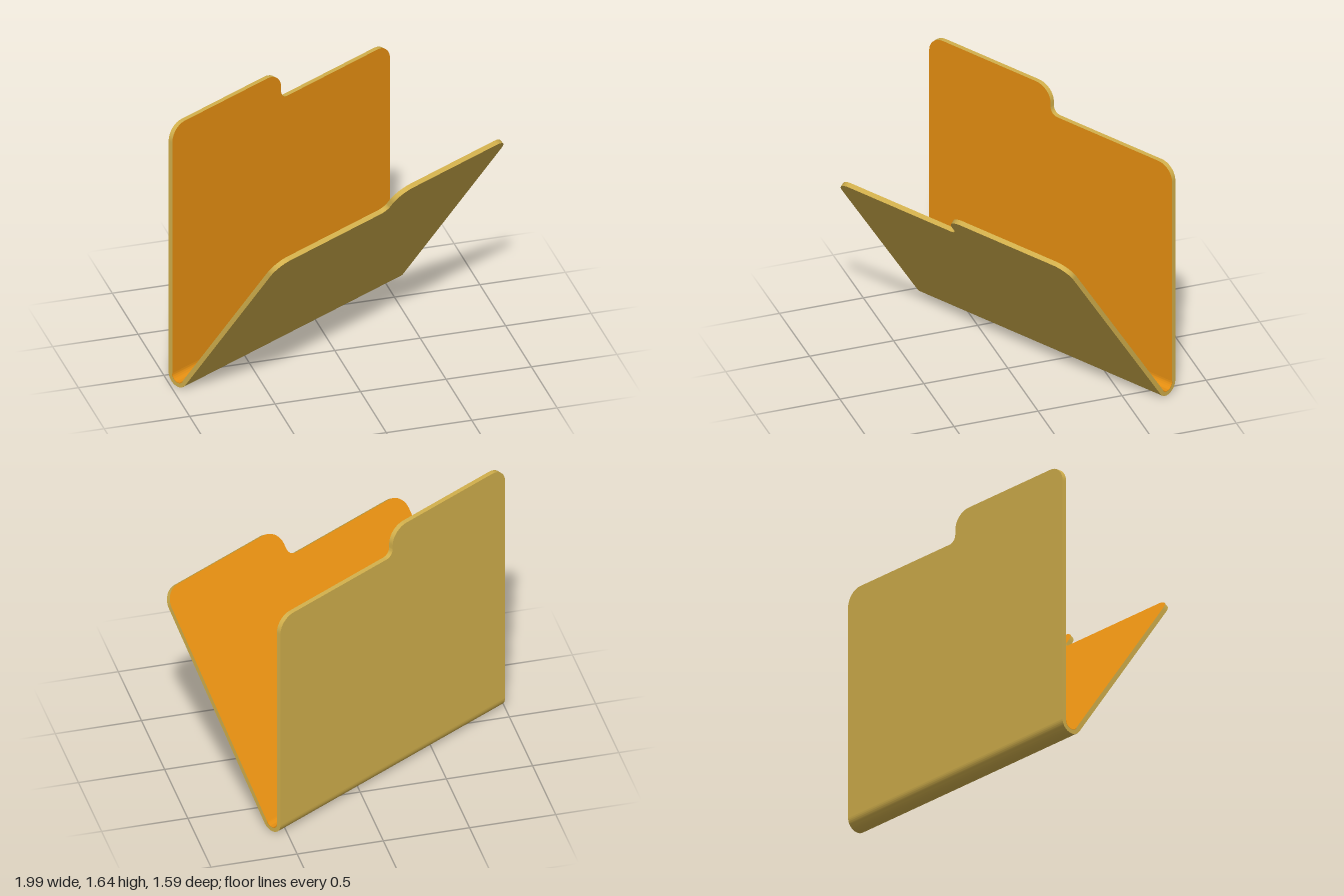
import * as THREE from 'three';
import { toCreasedNormals } from 'three/addons/utils/BufferGeometryUtils.js';

const HALF = 0.891;      // half the folder width
const T = 0.028;         // card thickness
const RO = 0.07;         // outer radius of the fold
const RI = RO - T;
const TILT = THREE.MathUtils.degToRad(34.8);
const STEP = 0.175;      // how far the tab rises

const outside = new THREE.MeshStandardMaterial({ color: 0xd2b04c });
outside.name = 'khaki card';
const inside = new THREE.MeshStandardMaterial({ color: 0xe68f11 });
inside.name = 'orange lining';

// Panel outline with a tab on one half; m = -1 mirrors the tab to the +x side
function panelShape(h, m) {
  const s = new THREE.Shape();
  const low = h - STEP, r = 0.1, k = 0.045;
  s.moveTo(-HALF * m, 0);
  s.lineTo(-HALF * m, h - r);
  s.bezierCurveTo(-HALF * m, h - k, (-HALF + k) * m, h, (-HALF + r) * m, h);
  s.lineTo(-0.11 * m, h);
  s.bezierCurveTo((-0.11 + 0.06) * m, h, 0, h - k, 0, h - r);
  s.lineTo(0, low + 0.05);
  s.bezierCurveTo(0, low + 0.02, 0.02 * m, low, 0.05 * m, low);
  s.lineTo((HALF - r) * m, low);
  s.bezierCurveTo((HALF - k) * m, low, HALF * m, low - k, HALF * m, low - r);
  s.lineTo(HALF * m, 0);
  s.closePath();
  return s;
}

// Card sheet: the first half of the lid triangles face -z, the second half +z
function panel(name, h, m, insideFacesFront) {
  const flat = new THREE.ExtrudeGeometry(panelShape(h, m), { depth: T, bevelEnabled: false, curveSegments: 10 });
  const [lids, walls] = flat.groups.map((g) => ({ ...g }));
  const geo = toCreasedNormals(flat, 0.6);
  geo.clearGroups();
  geo.addGroup(0, lids.count / 2, insideFacesFront ? 0 : 1);
  geo.addGroup(lids.count / 2, lids.count / 2, insideFacesFront ? 1 : 0);
  geo.addGroup(walls.start, walls.count, 0);
  const mesh = new THREE.Mesh(geo, [outside, inside]);
  mesh.name = name;
  return mesh;
}

// Curved band along the bottom fold, between two radii
function foldBand(name, rIn, rOut, material) {
  const s = new THREE.Shape();
  s.absarc(0, 0, rOut, Math.PI, 2 * Math.PI - TILT, false);
  s.absarc(0, 0, rIn, 2 * Math.PI - TILT, Math.PI, true);
  s.closePath();
  const geo = new THREE.ExtrudeGeometry(s, { depth: 2 * HALF, bevelEnabled: false, curveSegments: 18 });
  geo.translate(0, 0, -HALF);
  geo.rotateY(-Math.PI / 2);
  const mesh = new THREE.Mesh(toCreasedNormals(geo, 0.6), material);
  mesh.name = name;
  return mesh;
}

export function createModel() {
  const model = new THREE.Group();
  model.name = 'openFolder';

  // Everything is placed around the axis of the fold
  const folder = new THREE.Group();
  folder.name = 'folder';
  folder.position.set(-0.019, RO, -0.422 + RO);

  const back = panel('backPanel', 1.643 - RO, 1, true);
  back.position.z = -RO;

  const front = panel('frontPanel', 1.424, -1, false);
  front.position.z = RI;
  const frontPivot = new THREE.Group();
  frontPivot.name = 'frontFlap';
  frontPivot.rotation.x = TILT;
  frontPivot.add(front);

  folder.add(
    back,
    frontPivot,
    foldBand('bottomFold', RI + 0.003, RO, outside),
    foldBand('foldLining', RI, RI + 0.003, inside),
  );

  // Turn the folder to its angled stance
  const turn = new THREE.Group();
  turn.name = 'stance';
  turn.rotation.y = Math.PI / 6;
  turn.add(folder);
  model.add(turn);
  return model;
}
